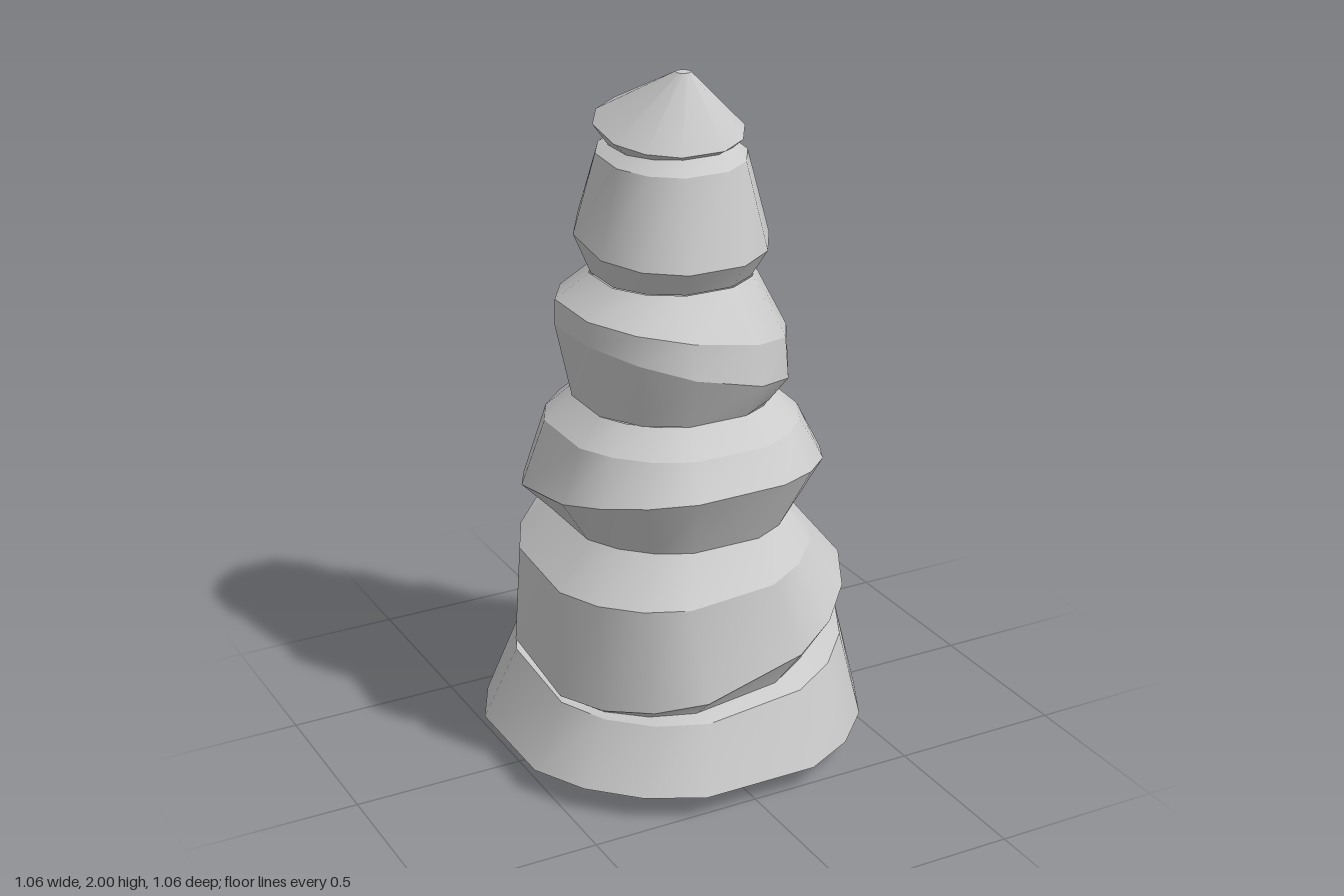
import * as THREE from 'three';
import { mergeGeometries } from 'three/addons/utils/BufferGeometryUtils.js';

const material = new THREE.MeshStandardMaterial({ color: 0xcccccc, side: THREE.DoubleSide });
const REACH = Math.cos(Math.PI / 10); // first corner sits 18 degrees off the axis

// Ring described by its reach and height on the left(-x), right(+x), back(-z), front(+z)
const ring = (xl, xr, zb, zf, yl, yr, yb, yf) => ({ xl, xr, zb, zf, yl, yr, yb, yf });
// Level, centred ring
const flat = (w, y) => ring(-w, w, -w, w, y, y, y, y);
// Centred ring with heights left, right, back, front
const tilted = (w, yl, yr, yb, yf) => ring(-w, w, -w, w, yl, yr, yb, yf);

// Corner angles: the corners on the four axes are left out, giving wide flat sides there
function cornerAngles(perQuadrant) {
  const angles = [];
  for (let q = 0; q < 4; q++) {
    for (let k = 0; k < perQuadrant; k++) {
      angles.push(THREE.MathUtils.degToRad(q * 90 + 18 + (54 * k) / (perQuadrant - 1)));
    }
  }
  return angles;
}

function ringPoint(r, a) {
  const c = Math.cos(a), s = Math.sin(a);
  const x = (r.xl + r.xr) / 2 + ((r.xr - r.xl) / 2) * c / REACH;
  const z = (r.zb + r.zf) / 2 + ((r.zf - r.zb) / 2) * s / REACH;
  const y = (r.yl + r.yr + r.yb + r.yf) / 4
    + ((r.yr - r.yl) / 2) * c + ((r.yf - r.yb) / 2) * s
    + ((r.yl + r.yr - r.yb - r.yf) / 4) * Math.cos(2 * a);
  return [x, y, z];
}

// One band between two rings: smooth around, sharp at its rims
function band(lower, upper, angles) {
  const n = angles.length, pos = [], idx = [];
  for (const r of [lower, upper]) for (const a of angles) pos.push(...ringPoint(r, a));
  for (let i = 0; i < n; i++) {
    const j = (i + 1) % n;
    idx.push(i, n + i, j, j, n + i, n + j);
  }
  const g = new THREE.BufferGeometry();
  g.setAttribute('position', new THREE.Float32BufferAttribute(pos, 3));
  g.setIndex(idx);
  g.computeVertexNormals();
  return g;
}

function tier(name, perQuadrant, rings) {
  const angles = cornerAngles(perQuadrant);
  const bands = rings.slice(1).map((r, i) => band(rings[i], r, angles));
  const mesh = new THREE.Mesh(mergeGeometries(bands), material);
  mesh.name = name;
  return mesh;
}

export function createModel() {
  const group = new THREE.Group();
  group.name = 'tieredSpire';

  // Hollow foot, open underneath, with a sloping upper rim
  const footLedge = ring(-0.41, 0.37, -0.41, 0.42, 0.26, 0.36, 0.35, 0.29);
  group.add(tier('baseTier', 4, [
    flat(0.42, 0),
    flat(0.53, 0.07),
    ring(-0.43, 0.47, -0.47, 0.46, 0.26, 0.36, 0.36, 0.27),
    footLedge,
  ]));

  // Second tier, its ridge climbing towards the right and back
  group.add(tier('secondTier', 4, [
    footLedge,
    ring(-0.43, 0.48, -0.47, 0.45, 0.28, 0.54, 0.49, 0.35),
    ring(-0.425, 0.37, -0.40, 0.41, 0.6, 0.66, 0.68, 0.6),
    flat(0.32, 0.715),
  ]));

  // Third tier, its ridge climbing towards the front
  group.add(tier('thirdTier', 4, [
    flat(0.32, 0.715),
    tilted(0.41, 0.83, 0.84, 0.76, 0.91),
    flat(0.345, 1.0),
    flat(0.27, 1.07),
  ]));

  // Fourth tier, its ridge climbing towards the left
  group.add(tier('fourthTier', 3, [
    flat(0.27, 1.07),
    ring(-0.31, 0.315, -0.33, 0.33, 1.29, 1.12, 1.18, 1.2),
    ring(-0.31, 0.31, -0.315, 0.315, 1.36, 1.24, 1.31, 1.31),
    flat(0.22, 1.43),
  ]));

  // Fifth tier, its ridge climbing towards the back
  group.add(tier('fifthTier', 3, [
    flat(0.215, 1.43),
    tilted(0.26, 1.53, 1.53, 1.58, 1.5),
    tilted(0.2, 1.765, 1.765, 1.78, 1.75),
    flat(0.165, 1.79),
  ]));

  // Tilted pointed cap with a blunt tip set forward
  group.add(tier('pointedCap', 3, [
    flat(0.165, 1.79),
    ring(-0.2, 0.2, -0.21, 0.18, 1.835, 1.835, 1.875, 1.8),
    ring(-0.02, 0.02, 0.045, 0.085, 2, 2, 2, 2),
    ring(0, 0, 0.065, 0.065, 2, 2, 2, 2),
  ]));

  return group;
}
